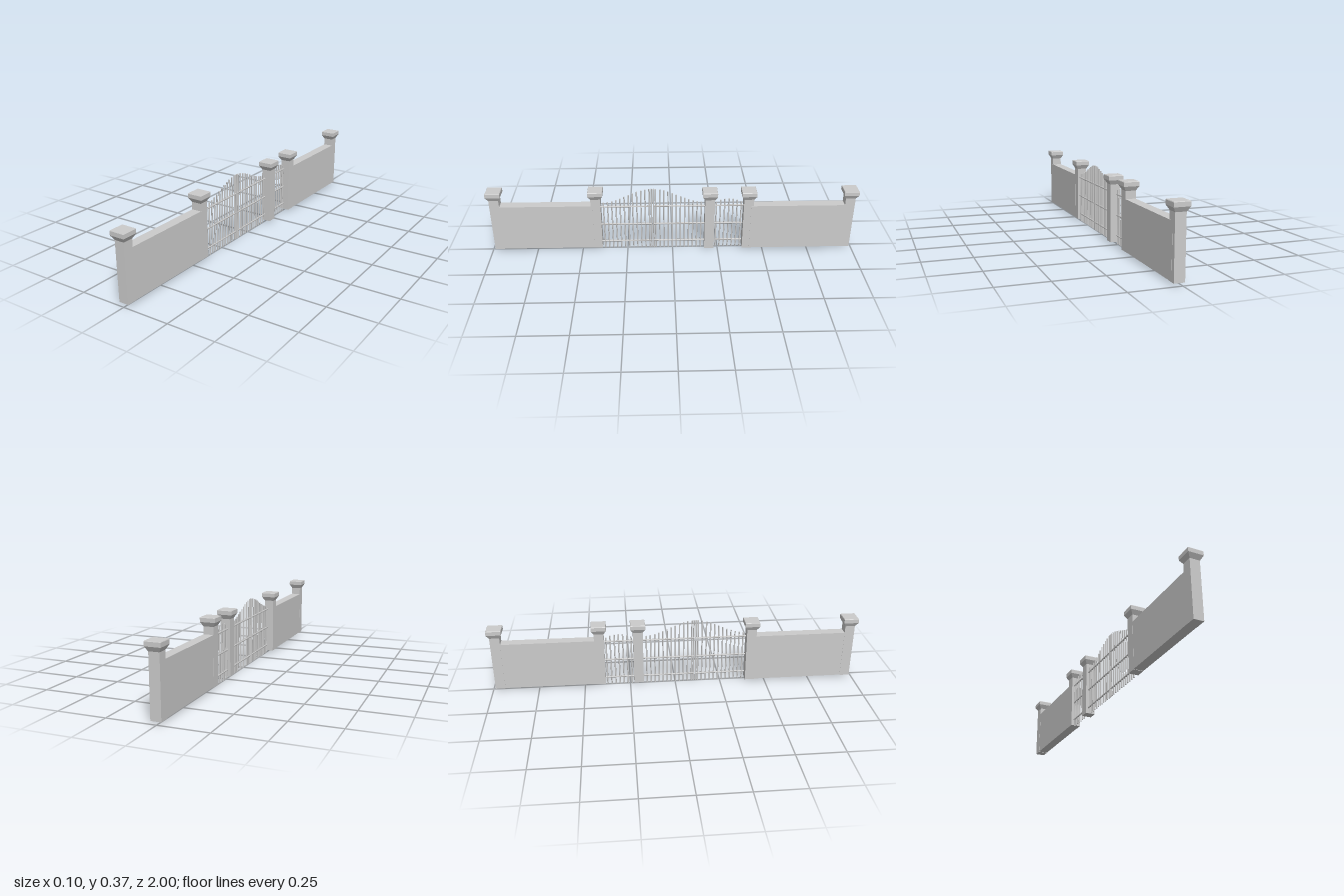
import * as THREE from 'three';

const stone = new THREE.MeshStandardMaterial({ color: 0xcccccc, flatShading: true });
const iron = new THREE.MeshStandardMaterial({ color: 0xcccccc });

function add(parent, name, geometry, material, x, y, z) {
  const mesh = new THREE.Mesh(geometry, material);
  mesh.name = name;
  mesh.position.set(x, y, z);
  parent.add(mesh);
  return mesh;
}

// Square shaft with a flared capital, as a four-sided lathe of half-widths
function pillarGeometry() {
  const profile = [[0, 0.01], [0.0265, 0.01], [0.0265, 0.315], [0.04, 0.338],
    [0.04, 0.359], [0.038, 0.362], [0, 0.362]];
  const points = profile.map(([half, y]) => new THREE.Vector2(half * Math.SQRT2, y));
  return new THREE.LatheGeometry(points, 4, Math.PI / 4);
}

// Upright round bar standing on the ground
function bar(parent, z, top) {
  add(parent, 'bar', new THREE.CylinderGeometry(0.004, 0.004, top, 8), iron, 0, top / 2, z);
}

// Three horizontal rails between two z positions
function rails(parent, z0, z1) {
  for (const y of [0.045, 0.153, 0.263]) {
    const rail = add(parent, 'rail', new THREE.CylinderGeometry(0.005, 0.005, Math.abs(z1 - z0), 8),
      iron, 0, y, (z0 + z1) / 2);
    rail.rotation.x = Math.PI / 2;
  }
}

export function createModel() {
  const model = new THREE.Group();
  model.name = 'gatedWall';

  // Pillars: the front pair stands slightly to one side of the rear three
  const pillar = pillarGeometry();
  for (const [x, z] of [[-0.011, 0.96], [-0.011, 0.416], [0.01, -0.202], [0.01, -0.412], [0.01, -0.96]]) {
    add(model, 'pillar', pillar, stone, x, 0, z);
  }

  // Wall panels, let into the pillars at either end
  for (const [x, z0, z1] of [[-0.01, 0.955, 0.432], [0.011, -0.425, -0.965]]) {
    add(model, 'wallPanel', new THREE.BoxGeometry(0.053, 0.263, z0 - z1), stone, x, 0.1435, (z0 + z1) / 2);
  }

  // Double gate: two leaves whose tops sweep up to the meeting line
  const middle = 0.109, leafLength = 0.28, barCount = 12;
  for (const side of [1, -1]) {
    const leaf = new THREE.Group();
    leaf.name = side > 0 ? 'frontGateLeaf' : 'rearGateLeaf';
    rails(leaf, middle + side * 0.004, middle + side * (leafLength + 0.01));
    bar(leaf, middle + side * 0.006, 0.368);
    for (let i = 0; i < barCount; i++) {
      const d = 0.017 + i * 0.0226;
      const sweep = 0.5 + 0.5 * Math.cos(Math.PI * d / leafLength);
      bar(leaf, middle + side * d, 0.286 + 0.082 * sweep);
    }
    model.add(leaf);
  }

  // Narrow side gate with a gently arched top
  const sideGate = new THREE.Group();
  sideGate.name = 'sideGate';
  rails(sideGate, -0.22, -0.395);
  for (let i = 0; i < 7; i++) {
    const t = (i - 3) / 3;
    bar(sideGate, -0.307 - t * 0.068, 0.304 - 0.018 * t * t);
  }
  model.add(sideGate);

  return model;
}
